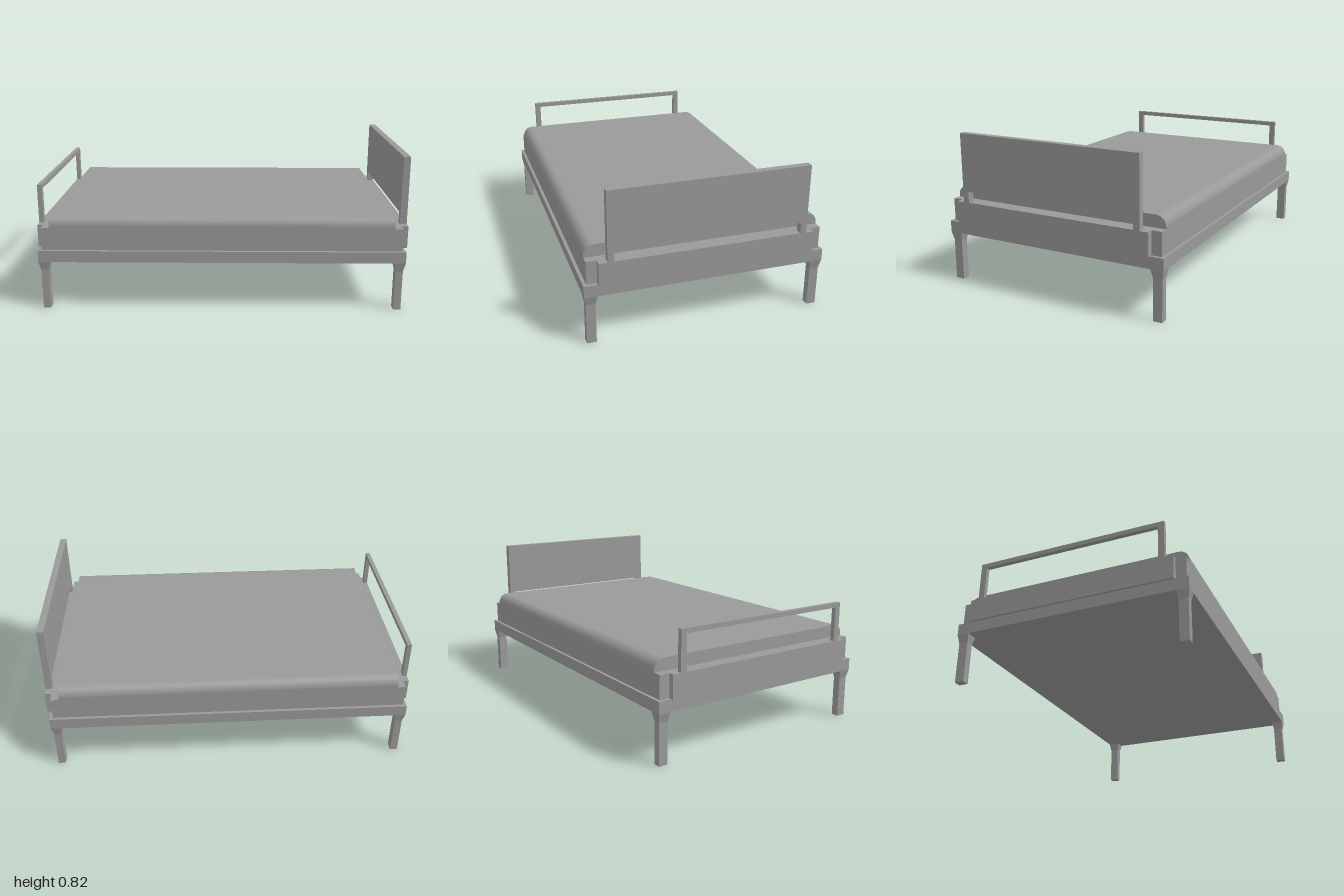
import * as THREE from 'three';

const material = new THREE.MeshStandardMaterial({ color: 0x999999 });

function addMesh(parent, name, geometry) {
  const mesh = new THREE.Mesh(geometry, material);
  mesh.name = name;
  parent.add(mesh);
  return mesh;
}

// Box given by its lower and upper limits on each axis
function addBox(parent, name, [x0, x1], [y0, y1], [z0, z1]) {
  const mesh = addMesh(parent, name, new THREE.BoxGeometry(x1 - x0, y1 - y0, z1 - z0));
  mesh.position.set((x0 + x1) / 2, (y0 + y1) / 2, (z0 + z1) / 2);
}

// Extrude a z/y outline along x, from x0 to x1
function extrudeAlongX(shape, x0, x1) {
  const geometry = new THREE.ExtrudeGeometry(shape, { depth: x1 - x0, bevelEnabled: false, curveSegments: 12 });
  geometry.rotateY(Math.PI / 2);
  geometry.translate(x0, 0, 0);
  return geometry;
}

function rectangle(path, halfWidth, y0, y1) {
  path.moveTo(-halfWidth, y0);
  path.lineTo(halfWidth, y0);
  path.lineTo(halfWidth, y1);
  path.lineTo(-halfWidth, y1);
  path.closePath();
  return path;
}

// Upright end board with an opening through it
function endBoard(x0, x1, top, openingTop) {
  const shape = rectangle(new THREE.Shape(), 0.525, 0.453, top);
  shape.holes.push(rectangle(new THREE.Path(), 0.492, 0.454, openingTop));
  return extrudeAlongX(shape, x0, x1);
}

// Square leg that flares at the top where it meets the frame
function legGeometry() {
  const geometry = new THREE.BoxGeometry(0.04, 2, 0.05, 1, 2, 1).toNonIndexed();
  const p = geometry.attributes.position;
  const heights = [0, 0.22, 0.267];
  for (let i = 0; i < p.count; i++) {
    const level = Math.round(p.getY(i)) + 1;
    const flare = level === 2 ? 1 : 0;
    p.setXYZ(i,
      p.getX(i) + Math.sign(p.getX(i)) * flare * 0.011,
      heights[level],
      p.getZ(i) + Math.sign(p.getZ(i)) * flare * 0.009);
  }
  geometry.computeVertexNormals();
  return geometry;
}

// Radial normals on the rounded edges, so they shade smoothly
function smoothRounding(geometry, zCentre, yCentre) {
  const p = geometry.attributes.position, n = geometry.attributes.normal;
  for (let i = 0; i < p.count; i++) {
    const dz = Math.abs(p.getZ(i)) - zCentre, dy = p.getY(i) - yCentre;
    if (Math.abs(n.getX(i)) > 0.5 || dz < -1e-5 || dy < -1e-5) continue;
    const length = Math.hypot(dz, dy);
    n.setXYZ(i, 0, dy / length, Math.sign(p.getZ(i)) * dz / length);
  }
}

export function createModel() {
  const bed = new THREE.Group();
  bed.name = 'bed';

  // Legs
  const leg = legGeometry();
  for (const x of [-0.957, 0.951]) {
    for (const z of [-0.608, 0.608]) {
      addMesh(bed, 'leg', leg).position.set(x, 0, z);
    }
  }

  // Base frame and the box that carries the mattress
  addBox(bed, 'baseFrame', [-0.988, 0.982], [0.267, 0.33], [-0.642, 0.642]);
  addBox(bed, 'mattressBase', [-0.97, 0.963], [0.33, 0.453], [-0.625, 0.625]);

  // Mattress, rounded along both long top edges
  const w = 0.625, top = 0.518, r = 0.055;
  const profile = new THREE.Shape();
  profile.moveTo(-w, 0.453);
  profile.lineTo(w, 0.453);
  profile.lineTo(w, top - r);
  profile.absarc(w - r, top - r, r, 0, Math.PI / 2);
  profile.lineTo(-w + r, top);
  profile.absarc(-w + r, top - r, r, Math.PI / 2, Math.PI);
  profile.closePath();
  const mattress = extrudeAlongX(profile, -0.925, 0.918);
  smoothRounding(mattress, w - r, top - r);
  addMesh(bed, 'mattress', mattress);

  // Headboard with a low slot, on its lower panel
  addBox(bed, 'headPanel', [0.963, 1], [0.33, 0.453], [-0.57, 0.57]);
  addMesh(bed, 'headboard', endBoard(0.963, 1, 0.825, 0.513));

  // Open footboard rail, on its lower panel
  addBox(bed, 'footPanel', [-1, -0.97], [0.33, 0.453], [-0.57, 0.57]);
  addMesh(bed, 'footboard', endBoard(-1, -0.976, 0.665, 0.64));

  return bed;
}
